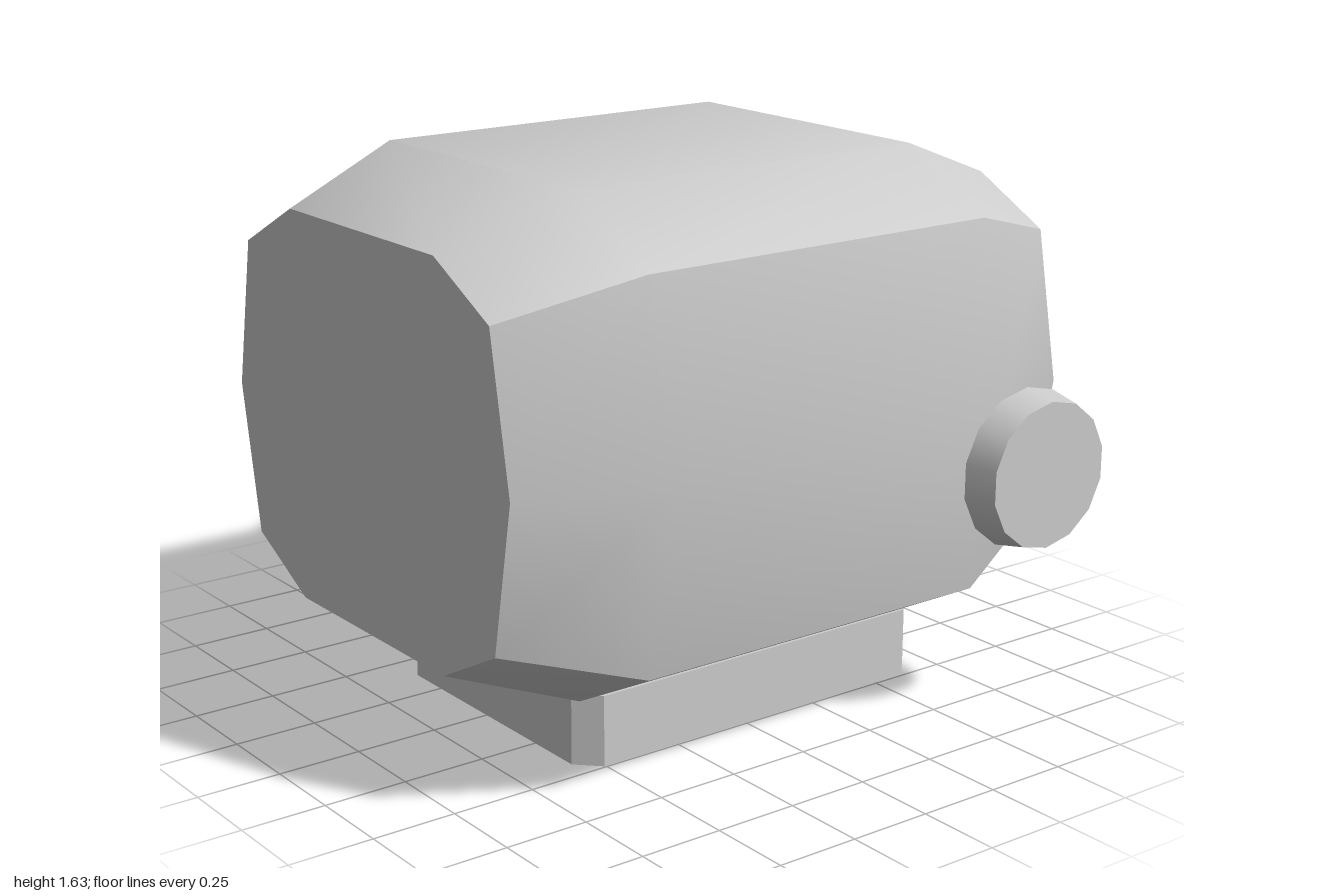
import * as THREE from 'three';
import { toCreasedNormals } from 'three/addons/utils/BufferGeometryUtils.js';

// Rounded barrel body: a ten-sided section swept along x, shrunk towards both ends
function bodyGeometry() {
  const cy = 0.92, cz = 0.025, n = 10;
  const quarter = [[0.875, 0], [0.775, 0.545], [0.46, 0.71]];
  const [a, b, c] = quarter;
  const section = [
    a, [b[0], -b[1]], [c[0], -c[1]], [-c[0], -c[1]], [-b[0], -b[1]],
    [-a[0], 0], [-b[0], b[1]], [-c[0], c[1]], c, b,
  ];
  const rings = [[-0.96, 0.805], [-0.58, 1], [0.58, 1], [0.96, 0.805]].map(([x, s]) =>
    section.map(([z, y]) => [x, cy + y * s, cz + z * s]));
  const pos = [];
  const tri = (...pts) => pts.forEach((p) => pos.push(...p));
  for (let r = 0; r < rings.length - 1; r++) {
    for (let i = 0; i < n; i++) {
      const j = (i + 1) % n, p = rings[r], q = rings[r + 1];
      tri(p[i], p[j], q[i]);
      tri(p[j], q[j], q[i]);
    }
  }
  // end caps
  for (let i = 0; i < n; i++) {
    const j = (i + 1) % n;
    tri([-0.96, cy, cz], rings[0][j], rings[0][i]);
    tri([0.96, cy, cz], rings[3][i], rings[3][j]);
  }
  const geo = new THREE.BufferGeometry();
  geo.setAttribute('position', new THREE.Float32BufferAttribute(pos, 3));
  return toCreasedNormals(geo, 0.6);
}

// Rectangular foot with cut corners
function baseGeometry(x0, x1, z0, z1, cut, height) {
  const shape = new THREE.Shape([
    [x0 + cut, -z1], [x1 - cut, -z1], [x1, -z1 + cut], [x1, -z0 - cut],
    [x1 - cut, -z0], [x0 + cut, -z0], [x0, -z0 - cut], [x0, -z1 + cut],
  ].map(([x, y]) => new THREE.Vector2(x, y)));
  const geo = new THREE.ExtrudeGeometry(shape, { depth: height, bevelEnabled: false });
  return geo.rotateX(-Math.PI / 2);
}

export function createModel() {
  const group = new THREE.Group();
  const grey = new THREE.MeshStandardMaterial({ color: 0xcccccc });
  grey.name = 'grey';

  const add = (name, geo) => {
    const mesh = new THREE.Mesh(geo, grey);
    mesh.name = name;
    group.add(mesh);
    return mesh;
  };

  add('body', bodyGeometry());
  add('base', baseGeometry(-0.57, 0.67, -0.445, 0.495, 0.065, 0.21));

  // Tapered discs on the front and back
  const disc = (name, outer, inner, depth, x, y, z, dir) => {
    const geo = new THREE.CylinderGeometry(outer, inner, depth, 14);
    geo.rotateX(dir * Math.PI / 2);
    add(name, geo).position.set(x, y, z);
  };
  disc('frontKnob', 0.215, 0.235, 0.1, 0.675, 0.75, 0.95, 1);
  disc('backDisc', 0.43, 0.477, 0.15, 0.337, 0.835, -0.925, -1);

  return group;
}
